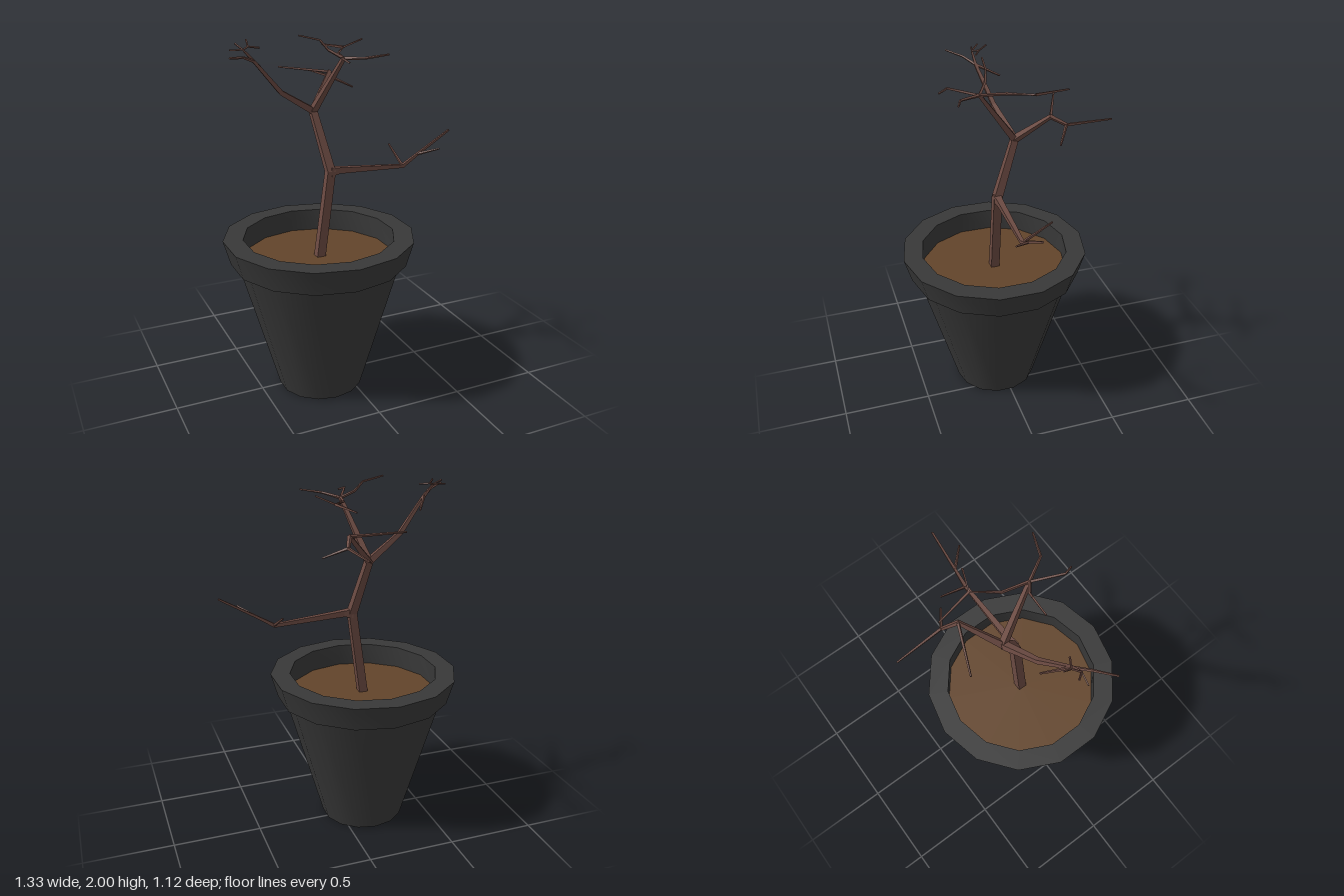
import * as THREE from 'three';
import { toCreasedNormals } from 'three/addons/utils/BufferGeometryUtils.js';

const V = (p) => new THREE.Vector3(...p);
const UP = new THREE.Vector3(0, 1, 0);

// Square-section limb swept through points, tapering by the given radii
function limbGeometry(path, radii) {
  const pts = path.map(V);
  const n = pts.length;
  const pos = [];
  const index = [];
  pts.forEach((p, i) => {
    const dir = new THREE.Vector3();
    if (i > 0) dir.add(p.clone().sub(pts[i - 1]).normalize());
    if (i < n - 1) dir.add(pts[i + 1].clone().sub(p).normalize());
    const q = new THREE.Quaternion().setFromUnitVectors(UP, dir.normalize());
    for (let k = 0; k < 4; k++) {
      const a = Math.PI / 4 + (k * Math.PI) / 2;
      const v = new THREE.Vector3(Math.sin(a), 0, Math.cos(a)).multiplyScalar(radii[i]);
      pos.push(...v.applyQuaternion(q).add(p).toArray());
    }
  });
  for (let i = 0; i < n - 1; i++) {
    for (let k = 0; k < 4; k++) {
      const a = i * 4 + k, b = i * 4 + ((k + 1) % 4);
      index.push(a, b, b + 4, a, b + 4, a + 4);
    }
  }
  const e = (n - 1) * 4;
  index.push(0, 2, 1, 0, 3, 2, e, e + 1, e + 2, e, e + 2, e + 3);
  const g = new THREE.BufferGeometry();
  g.setAttribute('position', new THREE.Float32BufferAttribute(pos, 3));
  g.setIndex(index);
  g.computeVertexNormals();
  return g;
}

export function createModel() {
  const model = new THREE.Group();
  model.name = 'pottedTree';
  const potMat = new THREE.MeshStandardMaterial({ color: 0x383838 });
  const soilMat = new THREE.MeshStandardMaterial({ color: 0x62442a });
  const barkMat = new THREE.MeshStandardMaterial({ color: 0x6b4a42, flatShading: true });
  const SIDES = 14;

  // Tapered pot with an overhanging rim
  const profile = [
    [0, 0], [0.237, 0], [0.455, 0.77], [0.49, 0.765],
    [0.53, 0.905], [0.42, 0.905], [0.42, 0.76],
  ].map(([r, y]) => new THREE.Vector2(r, y));
  const pot = new THREE.Mesh(toCreasedNormals(new THREE.LatheGeometry(profile, SIDES), 0.7), potMat);
  pot.name = 'pot';
  pot.position.set(-0.15, 0, 0.03);
  model.add(pot);

  // Soil surface
  const soil = new THREE.Mesh(
    new THREE.CircleGeometry(0.42, SIDES, Math.PI / 2).rotateX(-Math.PI / 2), soilMat);
  soil.name = 'soil';
  soil.position.set(-0.15, 0.78, 0.03);
  model.add(soil);

  // Forks of the tree
  const base = [-0.15, 0.75, 0.03];
  const fork = [-0.08, 1.26, 0.03];
  const crown = [-0.13, 1.575, -0.085];
  const sideTip = [0.365, 1.237, 0.03];
  const sideMid = [0.46, 1.296, 0.03];
  const leftTip = [-0.49, 1.88, 0.025];
  const leftEnd = [-0.545, 1.94, 0.03];
  const leftFork = [-0.51, 1.95, 0.0];
  const topFork = [-0.047, 1.88, 0.128];
  const topBack = [0.07, 1.897, -0.13];
  const backFork = [0.03, 1.752, -0.228];
  const backTip = [0.066, 1.712, -0.303];

  const tree = new THREE.Group();
  tree.name = 'tree';
  model.add(tree);
  const limb = (name, path, radii) => {
    const mesh = new THREE.Mesh(limbGeometry(path, radii), barkMat);
    mesh.name = name;
    tree.add(mesh);
  };

  // Trunk and main branches
  limb('trunk', [base, fork, crown], [0.035, 0.033, 0.026]);
  limb('sideBranch', [fork, [-0.03, 1.262, 0.03], sideTip, sideMid, [0.66, 1.415, 0.03]],
    [0.034, 0.024, 0.014, 0.01, 0.007]);
  limb('leftBranch', [crown, [-0.33, 1.7, -0.03], leftTip, leftEnd], [0.025, 0.017, 0.011, 0.006]);
  limb('topBranch', [crown, topFork], [0.025, 0.013]);
  limb('backBranch', [crown, backFork, backTip], [0.024, 0.014, 0.01]);

  // Twigs: path from a fork to the tip
  const twigs = [
    [sideTip, [0.36, 1.327, -0.132]],
    [sideMid, [0.545, 1.34, 0.122]],
    [leftTip, [-0.56, 1.91, 0.08], [-0.653, 1.923, 0.154]],
    [leftTip, [-0.416, 1.83, -0.093]],
    [leftEnd, [-0.61, 1.94, 0.015]],
    [leftEnd, [-0.573, 1.967, -0.01]],
    [leftEnd, leftFork, [-0.505, 1.98, -0.042]],
    [leftFork, [-0.46, 1.945, 0.03]],
    [topFork, [-0.123, 1.907, 0.275], [-0.105, 1.89, 0.325]],
    [topFork, [0.02, 1.893, 0.243], [0.134, 1.91, 0.282]],
    [topFork, [-0.11, 1.92, 0.08], [-0.15, 1.97, 0.064], [-0.26, 1.997, 0.052]],
    [topFork, [-0.016, 1.885, -0.008], topBack, [0.167, 1.94, -0.096]],
    [topBack, [0.03, 1.89, -0.325]],
    [backFork, [-0.23, 1.78, -0.34]],
    [backTip, [0.052, 1.706, -0.564]],
    [backTip, [0.177, 1.655, -0.232]],
  ];
  twigs.forEach((path, i) => {
    const thick = path[0] === leftEnd || path[0] === leftFork ? 0.005 : 0.009;
    const radii = path.map((_, k) => THREE.MathUtils.lerp(thick, 0.005, k / (path.length - 1)));
    limb('twig' + (i + 1), path, radii);
  });

  return model;
}
